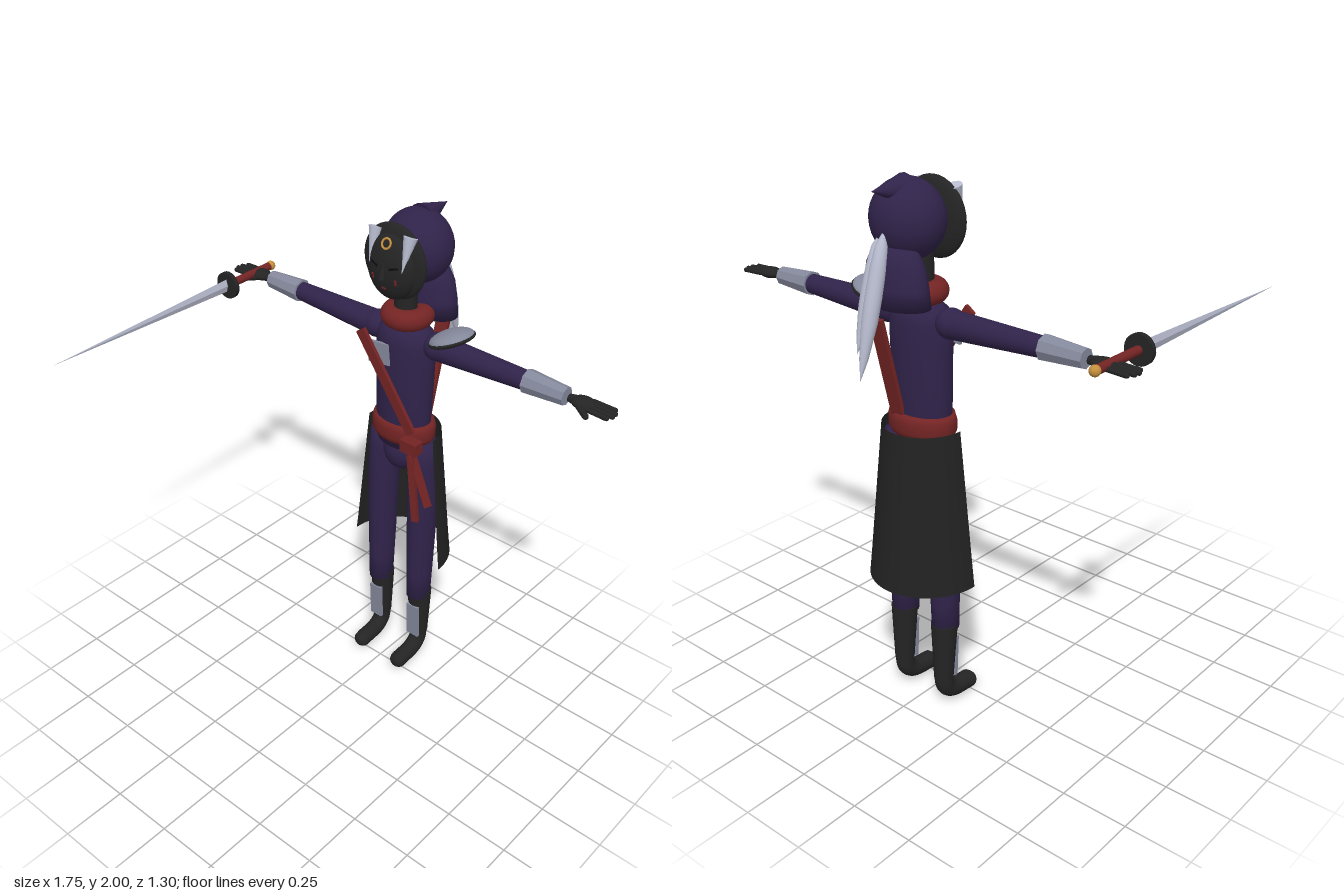
import * as THREE from 'three';

const mat = (name, color, side = THREE.FrontSide) => {
  const m = new THREE.MeshStandardMaterial({ color, side });
  m.name = name;
  return m;
};

export function createModel() {
  const purple = mat('purple cloth', 0x30234a);
  const black = mat('black leather', 0x242424);
  const skirtBlack = mat('black skirt cloth', 0x222222, THREE.DoubleSide);
  const red = mat('red cloth', 0x742424);
  const grey = mat('grey armour', 0x85899c);
  const steel = mat('pale steel', 0xb8bccf);
  const gold = mat('gold', 0xc48f3c);
  const dark = mat('mask slit', 0x0c0c0e);

  const model = new THREE.Group();
  model.name = 'swordsman';
  const Z = -0.36; // body axis
  const V = (x, y, z) => new THREE.Vector3(x, y, z);

  const add = (name, geo, m, pos = [0, 0, 0], scale = [1, 1, 1], rot = [0, 0, 0], parent = model) => {
    const mesh = new THREE.Mesh(geo, m);
    mesh.name = name;
    mesh.position.set(...pos);
    mesh.scale.set(...scale);
    mesh.rotation.set(...rot);
    parent.add(mesh);
    return mesh;
  };
  const ball = (name, m, pos, radii, rot) => add(name, new THREE.SphereGeometry(1, 28, 18), m, pos, radii, rot);
  const lathe = (pts, seg = 32, start = 0, len = Math.PI * 2) =>
    new THREE.LatheGeometry(pts.map(p => new THREE.Vector2(...p)), seg, start, len);
  // aim a +y geometry from a to b
  const aim = (mesh, a, b) => {
    mesh.position.copy(a).add(b).multiplyScalar(0.5);
    mesh.quaternion.setFromUnitVectors(V(0, 1, 0), b.clone().sub(a).normalize());
    return mesh;
  };
  const rod = (name, m, a, b, ra, rb, sides = 20) =>
    aim(add(name, new THREE.CylinderGeometry(rb, ra, a.distanceTo(b), sides), m), a, b);
  const band = (name, a, b, w, t, m = red) =>
    aim(add(name, new THREE.BoxGeometry(w, a.distanceTo(b), t), m), a, b);

  // torso, belt and pelvis
  add('torso', lathe([[0, 1.06], [0.108, 1.06], [0.116, 1.17], [0.12, 1.3], [0.122, 1.42], [0.122, 1.5],
    [0.11, 1.54], [0.075, 1.565], [0, 1.58]]), purple, [0, 0, -0.355], [1, 1, 0.71]);
  add('belt', lathe([[0.1, 1.085], [0.125, 1.09], [0.135, 1.11], [0.135, 1.145], [0.128, 1.168], [0.1, 1.172]]),
    red, [0, 0, -0.358], [1, 1, 0.73]);
  ball('pelvis', purple, [0, 1.02, -0.36], [0.08, 0.09, 0.075]);

  // skirt wrapped round the back
  add('skirt', lathe([[0.216, 0.53], [0.205, 0.63], [0.156, 1.12]], 32, Math.PI / 2, Math.PI),
    skirtBlack, [0, 0, -0.338], [1, 1, 1.02]);

  // straps and sash
  band('chestStrap', V(-0.13, 1.53, -0.25), V(0.12, 1.18, -0.25), 0.042, 0.014);
  band('backStrap', V(0.04, 1.53, -0.525), V(0.04, 1.16, -0.435), 0.055, 0.016);
  add('chestPlate', new THREE.BoxGeometry(0.1, 0.085, 0.012), grey, [-0.058, 1.452, -0.27], [1, 1, 1], [0, 0, 0.12]);
  add('sashKnot', new THREE.BoxGeometry(0.075, 0.05, 0.045), red, [0.115, 1.12, -0.258]);
  band('sashTail', V(0.115, 1.12, -0.25), V(0.186, 0.86, -0.285), 0.032, 0.014);
  band('sashTail', V(0.115, 1.12, -0.252), V(0.152, 0.79, -0.255), 0.027, 0.016);

  // neck and scarf
  rod('neck', black, V(0, 1.55, -0.345), V(0, 1.76, -0.345), 0.042, 0.042);
  add('scarf', new THREE.TorusGeometry(0.06, 0.04, 16, 32), red, [0, 1.597, -0.358], [1, 1, 1], [Math.PI / 2, 0, 0]);

  // hood with point and back drape
  ball('hood', purple, [0, 1.848, -0.405], [0.134, 0.136, 0.12]);
  rod('hoodPoint', purple, V(0, 1.945, -0.42), V(0, 1.96, -0.565), 0.052, 0, 16);
  add('hoodDrape', lathe([[0, 1.575], [0.134, 1.575], [0.128, 1.64], [0.115, 1.71], [0.085, 1.765], [0, 1.79]]),
    purple, [0, 0, -0.467], [1, 1, 0.6]);

  // pale plumes hanging behind the hood
  const plume = (a, b, r) => {
    const h = a.distanceTo(b);
    const g = lathe([[0, -h / 2], [r * 0.55, -h * 0.35], [r, -h * 0.1], [r * 1.05, h * 0.06], [r, h * 0.24],
      [r * 0.75, h * 0.4], [0, h / 2]].map(p => [p[0], p[1]]), 16);
    aim(add('plume', g, steel), b, a);
  };
  plume(V(0, 1.83, -0.515), V(0, 1.355, -0.647), 0.027);
  plume(V(0.035, 1.81, -0.5), V(0.045, 1.43, -0.612), 0.025);

  // mask
  ball('maskRim', black, [0, 1.83, -0.277], [0.137, 0.14, 0.032]);
  ball('maskFace', black, [0, 1.815, -0.262], [0.105, 0.122, 0.052]);
  rod('maskNose', black, V(0, 1.84, -0.215), V(0, 1.785, -0.205), 0.004, 0.012, 8);
  add('maskRing', new THREE.TorusGeometry(0.018, 0.004, 8, 24), gold, [0, 1.911, -0.226], [1, 1, 1], [-0.45, 0, 0]);
  for (const s of [-1, 1]) {
    rod('maskFang', steel, V(s * 0.076, 1.942, -0.262), V(s * 0.073, 1.82, -0.222), 0.026, 0, 12);
    add('eyeSlit', new THREE.BoxGeometry(0.035, 0.007, 0.008), dark, [s * 0.042, 1.832, -0.217], [1, 1, 1], [0, s * 0.3, s * 0.25]);
    add('cheekMark', new THREE.BoxGeometry(0.008, 0.02, 0.008), red, [s * 0.05, 1.782, -0.22], [1, 1, 1], [0.2, s * 0.35, 0]);
  }
  add('mouthMark', new THREE.BoxGeometry(0.018, 0.007, 0.008), red, [0, 1.748, -0.22], [1, 1, 1], [0.4, 0, 0]);

  for (const s of [-1, 1]) {
    // arm and bracer
    const y = 1.517;
    ball('shoulder', purple, [s * 0.14, 1.51, Z], [0.053, 0.053, 0.053]);
    rod('arm', purple, V(s * 0.15, 1.508, Z), V(s * 0.56, y, Z), 0.05, 0.034);
    const bracer = new THREE.CylinderGeometry(0.034, 0.045, 0.16, 8).toNonIndexed();
    bracer.computeVertexNormals();
    aim(add('bracer', bracer, grey), V(s * 0.525, y, Z), V(s * 0.685, y, Z));

    // hand
    rod('wrist', black, V(s * 0.695, y, Z), V(s * 0.73, y, Z), 0.014, 0.02, 12);
    ball('palm', black, [s * 0.75, y, -0.362], [0.046, 0.02, 0.036]);
    for (let i = 0; i < 4; i++) {
      const z = -0.392 + i * 0.02;
      const tip = 0.858 + [0, 0.012, 0.014, 0.004][i];
      aim(add('finger', new THREE.CapsuleGeometry(0.009, tip - 0.775, 4, 8), black),
        V(s * 0.77, y, z), V(s * (tip - 0.005), y - 0.003, z * 1.06 + 0.022));
    }
    aim(add('thumb', new THREE.CapsuleGeometry(0.011, 0.07, 4, 8), black),
      V(s * 0.735, y - 0.003, -0.345), V(s * 0.79, y - 0.012, -0.31));

    // leg
    add('leg', lathe([[0, 0.33], [0.047, 0.33], [0.05, 0.45], [0.055, 0.65], [0.059, 0.85], [0.057, 1.0], [0.05, 1.08], [0, 1.1]], 24),
      purple, [s * 0.1, 0, -0.367], [1, 1, 1.15]);

    // boot: upright shaft and curved foot
    rod('bootShaft', black, V(s * 0.1, 0.12, -0.382), V(s * 0.1, 0.35, -0.374), 0.037, 0.05);
    const path = new THREE.CatmullRomCurve3([V(0, 0.13, -0.382), V(0, 0.075, -0.376), V(0, 0.042, -0.34), V(0, 0.029, -0.245)]);
    add('foot', new THREE.TubeGeometry(path, 16, 0.035, 16), black, [s * 0.1, 0.005, 0]);
    ball('toe', black, [s * 0.1, 0.032, -0.245], [0.035, 0.032, 0.03]);
    band('shinGuard', V(s * 0.1, 0.115, -0.343), V(s * 0.1, 0.28, -0.333), 0.056, 0.014, grey);
  }

  // shoulder pad on the left side
  const pad = new THREE.Group();
  pad.name = 'shoulderPad';
  pad.position.set(0.2, 1.565, Z);
  pad.rotation.z = 0.36;
  model.add(pad);
  add('padDome', new THREE.SphereGeometry(1, 28, 10, 0, Math.PI * 2, 0, Math.PI / 2), grey, [0, 0, 0], [0.082, 0.03, 0.085], [0, 0, 0], pad);
  add('padRim', new THREE.SphereGeometry(1, 28, 14), black, [0, -0.004, 0], [0.086, 0.019, 0.09], [0, 0, 0], pad);

  // sword in the right hand, pointing forward
  const sx = -0.77, sy = 1.522;
  rod('swordHandle', red, V(sx, sy, -0.43), V(sx, sy, -0.2), 0.016, 0.016, 12);
  ball('swordPommel', gold, [sx, sy, -0.437], [0.019, 0.019, 0.019]);
  rod('swordGuard', black, V(sx, sy, -0.208), V(sx, sy, -0.19), 0.053, 0.053, 24);
  const blade = new THREE.ConeGeometry(1, 0.85, 4).toNonIndexed();
  blade.scale(0.007, 1, 0.026);
  blade.computeVertexNormals();
  add('swordBlade', blade, steel, [sx, sy, 0.225], [1, 1, 1], [Math.PI / 2, 0, 0]);

  return model;
}
